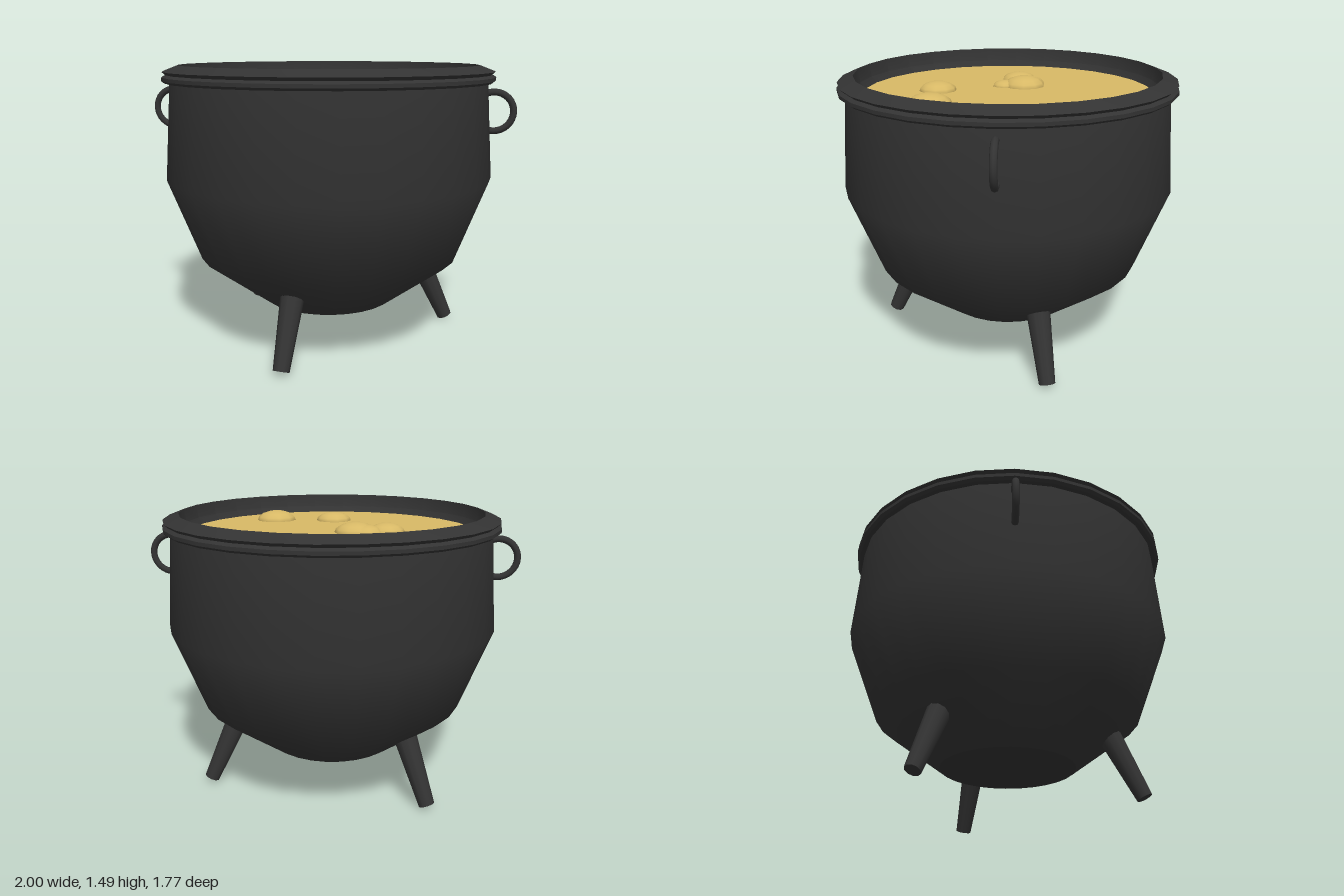
import * as THREE from 'three';
import { toCreasedNormals } from 'three/addons/utils/BufferGeometryUtils.js';

const SIDES = 28;

export function createModel() {
  const iron = new THREE.MeshStandardMaterial({ color: 0x333333 });
  iron.name = 'black iron';
  const brew = new THREE.MeshStandardMaterial({ color: 0xd8b966 });
  brew.name = 'golden brew';

  const model = new THREE.Group();
  model.name = 'cauldron';

  const add = (name, geometry, material, parent = model) => {
    const mesh = new THREE.Mesh(geometry, material);
    mesh.name = name;
    parent.add(mesh);
    return mesh;
  };
  const lathe = (points) =>
    new THREE.LatheGeometry(points.map(([r, y]) => new THREE.Vector2(r, y)), SIDES);

  // Pot wall and flat base
  add('potBody', lathe([[0.36, 0.2], [0.71, 0.46], [0.88, 0.9], [0.845, 1.41]]), iron);
  const base = add('potBase', new THREE.CircleGeometry(0.36, SIDES), iron);
  base.rotation.x = Math.PI / 2;
  base.position.y = 0.2;

  // Grooved rim, continuing down the inside of the mouth
  const rim = lathe([
    [0.84, 1.4], [0.87, 1.4], [0.885, 1.412], [0.885, 1.43], [0.865, 1.442],
    [0.882, 1.458], [0.8, 1.49], [0.79, 1.42], [0.75, 1.375],
  ]);
  add('rim', toCreasedNormals(rim, 0.6), iron);

  // Liquid surface
  const liquid = add('liquid', new THREE.CircleGeometry(0.765, SIDES), brew);
  liquid.rotation.x = -Math.PI / 2;
  liquid.position.y = 1.388;

  // Flattened bubbles: x, z, radius
  const bubbles = [
    [-0.13, -0.08, 0.112], [-0.185, -0.1, 0.09], [-0.29, -0.045, 0.097],
    [-0.12, 0.025, 0.066], [0.022, 0.37, 0.1], [0.355, 0.36, 0.112],
  ];
  for (const [x, z, r] of bubbles) {
    const bubble = add('bubble', new THREE.SphereGeometry(r, 10, 8), brew);
    bubble.scale.y = 0.5;
    bubble.position.set(x, 1.386, z);
  }

  // Ring handles, with their open ends buried in the wall
  const arc = 3.9;
  for (const side of [1, -1]) {
    const ring = new THREE.TorusGeometry(0.102, 0.018, 8, 20, arc).rotateZ(-arc / 2);
    const handle = add(side > 0 ? 'leftHandle' : 'rightHandle', ring, iron);
    handle.position.set(side * 0.88, 1.25, 0);
    handle.rotation.y = side > 0 ? 0 : Math.PI;
  }

  // Three splayed, tapering legs
  const foot = new THREE.Vector3(0, 0.02, 0.7);
  const hip = new THREE.Vector3(0, 0.45, 0.5);
  const length = foot.distanceTo(hip);
  const tilt = Math.atan2(hip.z - foot.z, hip.y - foot.y);
  ['frontLeg', 'leftLeg', 'rightLeg'].forEach((name, i) => {
    const pivot = new THREE.Group();
    pivot.name = name;
    pivot.rotation.y = THREE.MathUtils.degToRad(-10 + 120 * i);
    const leg = add(name + 'Post', new THREE.CylinderGeometry(0.067, 0.042, length, 10), iron, pivot);
    leg.position.copy(foot).lerp(hip, 0.5);
    leg.rotation.x = tilt;
    model.add(pivot);
  });

  return model;
}
